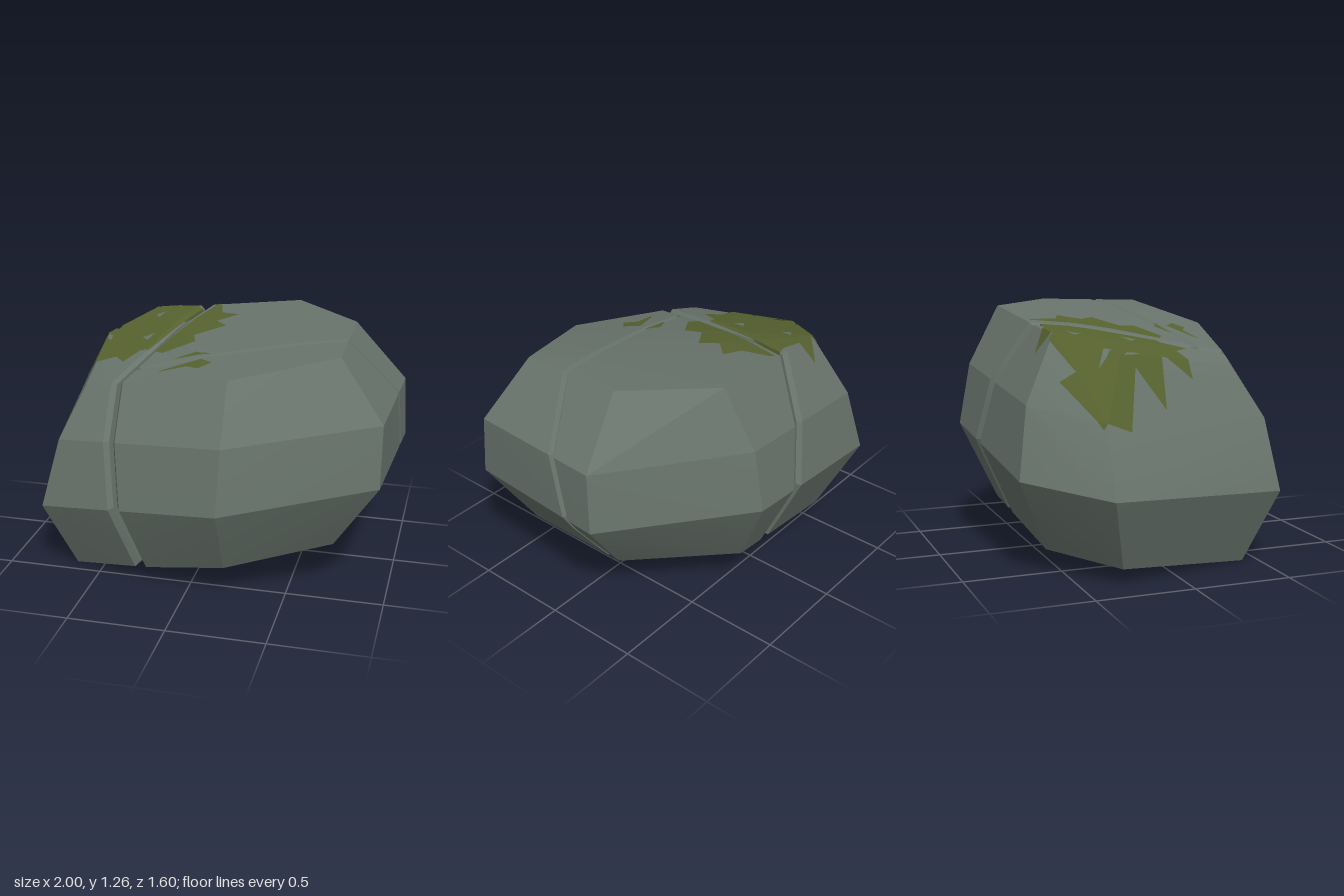
import * as THREE from 'three';
import { ConvexGeometry } from 'three/addons/geometries/ConvexGeometry.js';
import { toCreasedNormals } from 'three/addons/utils/BufferGeometryUtils.js';

const stone = new THREE.MeshStandardMaterial({ color: 0x68746c });
const mossGreen = new THREE.MeshStandardMaterial({ color: 0x57622f, side: THREE.DoubleSide });

// Corner rings of the whole boulder, from its underside to its crown
const BOULDER = [
  // underside
  [-0.83, 0.08, -0.3], [-0.65, 0, 0.42], [-0.23, 0.085, 0.55], [0.2, 0.17, 0.62],
  [0.72, 0.255, 0.39], [0.72, 0.255, -0.2], [0.25, 0.23, -0.62], [-0.5, 0.12, -0.58],
  // girdle
  [-1, 0.45, -0.4], [-0.78, 0.38, 0.56], [0.2, 0.53, 0.8], [0.95, 0.63, 0.5],
  [1, 0.63, -0.28], [0.33, 0.63, -0.8], [-0.64, 0.5, -0.75],
  // shoulder
  [-0.84, 0.78, -0.38], [-0.69, 0.74, 0.51], [0.21, 0.86, 0.74], [0.95, 0.95, 0.47],
  [0.985, 0.95, -0.26], [0.33, 0.95, -0.74], [-0.56, 0.85, -0.69],
  // crown
  [-0.45, 1.17, -0.52], [0.36, 1.255, -0.57], [0.72, 1.26, -0.2], [0.72, 1.24, 0.36],
  [0.2, 1.14, 0.55], [-0.4, 1.04, 0.42], [-0.58, 1.0, 0.37], [-0.66, 1.08, -0.25],
].map(p => new THREE.Vector3(...p));

// Planes of the two cracks
function crackPlane(x, y, z, constant) {
  const length = Math.hypot(x, y, z);
  return new THREE.Plane(new THREE.Vector3(x, y, z).divideScalar(length), constant / length);
}
const longCrack = crackPlane(1, 0.178, 0.271, 0.099);
const sideCrack = crackPlane(0.21, -0.257, 1, 0.062);
const flip = plane => plane.clone().negate();

// The triangles of a geometry without index, as lists of three corners
function triangles(geometry) {
  const position = geometry.attributes.position, list = [];
  for (let i = 0; i < position.count; i += 3)
    list.push([0, 1, 2].map(k => new THREE.Vector3().fromBufferAttribute(position, i + k)));
  return list;
}

function unique(points) {
  const found = new Map();
  for (const p of points) found.set(p.toArray().map(v => Math.round(v * 500)).join(), p);
  return [...found.values()];
}

// Keep the part of a convex solid in front of a plane and bevel the cut rim
function cut(points, plane, gap, bevel) {
  const faces = triangles(new ConvexGeometry(points));
  const section = height => {
    const hits = [];
    for (const t of faces) for (let k = 0; k < 3; k++) {
      const a = t[k], b = t[(k + 1) % 3];
      const da = plane.distanceToPoint(a) - height, db = plane.distanceToPoint(b) - height;
      if (da < 0 && db >= 0) hits.push(a.clone().lerp(b, da / (da - db)));
    }
    return unique(hits);
  };
  const rim = section(gap + bevel), face = section(gap), centre = new THREE.Vector3();
  face.forEach(p => centre.addScaledVector(p, 1 / face.length));
  face.forEach(p => p.lerp(centre, 0.035));
  const kept = points.filter(p => plane.distanceToPoint(p) > gap + bevel);
  return unique([...kept, ...rim, ...face]);
}

function rock(name, points) {
  const mesh = new THREE.Mesh(toCreasedNormals(new ConvexGeometry(points), 0.22), stone);
  mesh.name = name;
  return mesh;
}

// Part of a polygon on the inner side of the line a-b, seen from above
function clipByLine(polygon, a, b) {
  const side = p => (b.z - a.z) * (p.x - a.x) - (b.x - a.x) * (p.z - a.z);
  const result = [];
  polygon.forEach((p, i) => {
    const q = polygon[(i + 1) % polygon.length], sp = side(p), sq = side(q);
    if (sp >= 0) result.push(p);
    if (sp * sq < 0) result.push(p.clone().lerp(q, sp / (sp - sq)));
  });
  return result;
}

// Moss: an outline seen from above, draped over the upward faces of a rock
function moss(name, rockMesh, outline, holes = []) {
  const toVectors = list => list.map(p => new THREE.Vector2(...p));
  const contour = toVectors(outline), gaps = holes.map(toVectors);
  const all = [contour, ...gaps].flat().map(p => new THREE.Vector3(p.x, 0, p.y));
  const pieces = THREE.ShapeUtils.triangulateShape(contour, gaps);
  const positions = [];
  for (const [a, b, c] of triangles(rockMesh.geometry)) {
    const n = new THREE.Vector3().subVectors(b, a).cross(c.clone().sub(a)).normalize();
    if (!(n.y > 0.15)) continue;
    for (const piece of pieces) {
      let polygon = piece.map(i => all[i]);
      for (const [p, q] of [[a, b], [b, c], [c, a]]) polygon = clipByLine(polygon, p, q);
      const lifted = polygon.map(p => new THREE.Vector3(
        p.x, a.y - (n.x * (p.x - a.x) + n.z * (p.z - a.z)) / n.y + 0.008, p.z));
      for (let i = 1; i + 1 < lifted.length; i++) {
        const [u, v, w] = [lifted[0], lifted[i], lifted[i + 1]];
        const up = v.clone().sub(u).cross(w.clone().sub(u)).y > 0;
        for (const p of up ? [u, v, w] : [u, w, v]) positions.push(p.x, p.y, p.z);
      }
    }
  }
  const geometry = new THREE.BufferGeometry();
  geometry.setAttribute('position', new THREE.Float32BufferAttribute(positions, 3));
  geometry.computeVertexNormals();
  const mesh = new THREE.Mesh(geometry, mossGreen);
  mesh.name = name;
  return mesh;
}

export function createModel() {
  const group = new THREE.Group();
  group.name = 'crackedBoulder';

  // Three pieces split by a long crack and a side crack
  const rightHalf = cut(BOULDER, longCrack, 0.012, 0.022);
  const rightRock = rock('rightRock', cut(BOULDER, flip(longCrack), 0.012, 0.022));
  const backRock = rock('backRock', cut(rightHalf, flip(sideCrack), 0.004, 0.014));
  const frontRock = rock('frontRock', cut(rightHalf, sideCrack, 0.004, 0.014));
  group.add(rightRock, backRock, frontRock);

  // Ragged moss on the crown
  group.add(
    moss('largeMoss', rightRock, [
      [-0.84, -0.4], [-0.6, -0.535], [-0.62, -0.46], [-0.46, -0.54], [-0.44, -0.51],
      [-0.38, -0.59], [-0.31, -0.52], [-0.18, -0.5], [-0.25, -0.25], [-0.34, 0.07],
      [-0.38, 0.07], [-0.44, 0.19], [-0.5, 0.11], [-0.57, 0.12], [-0.66, 0.13],
      [-0.62, -0.02], [-0.76, -0.05], [-0.68, -0.18], [-0.84, -0.26],
    ], [
      [[-0.66, -0.36], [-0.6, -0.31], [-0.61, -0.27], [-0.64, -0.31]],
      [[-0.66, -0.23], [-0.62, -0.2], [-0.61, -0.13], [-0.64, -0.17]],
      [[-0.43, -0.4], [-0.38, -0.43], [-0.4, -0.36]],
      [[-0.42, -0.1], [-0.36, -0.14], [-0.38, -0.06]],
    ]),
    moss('middleMoss', backRock, [
      [-0.1, -0.53], [-0.08, -0.52], [-0.04, -0.37], [0.06, -0.33], [-0.04, -0.23],
      [0.03, -0.15], [-0.12, -0.05], [-0.09, 0.04], [-0.24, 0.14], [-0.29, 0.11],
    ]),
    moss('smallBackMoss', backRock, [[-0.16, 0.235], [-0.05, 0.175], [-0.02, 0.195], [0.04, 0.21]]),
    moss('smallFrontMoss', frontRock, [
      [-0.2, 0.37], [-0.18, 0.35], [-0.09, 0.31], [0, 0.27], [0.07, 0.33], [0.01, 0.38], [-0.06, 0.34],
    ]),
  );
  return group;
}
